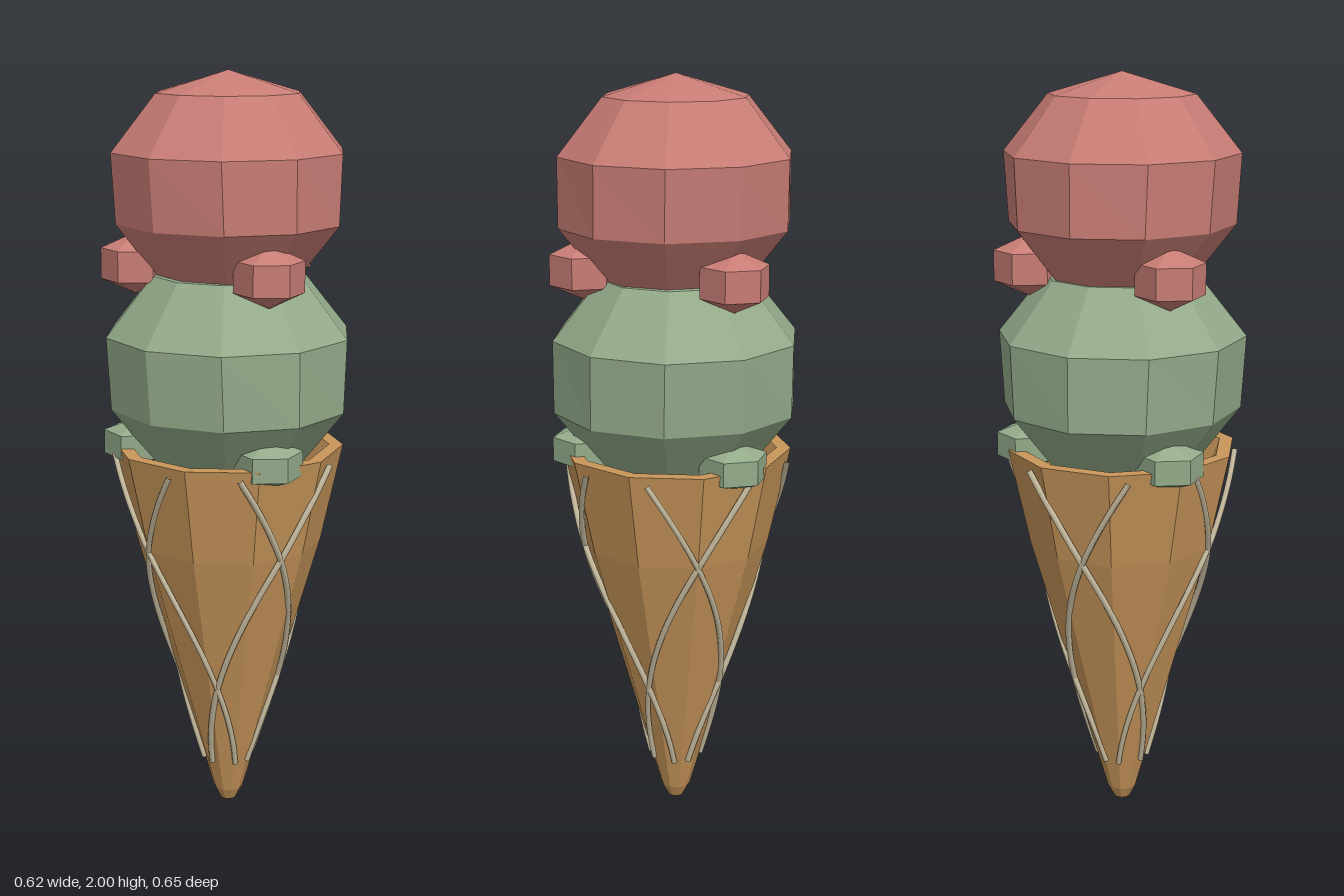
import * as THREE from 'three';

// Faceted normals baked into the geometry
function facet(geometry) {
  const g = geometry.toNonIndexed();
  g.computeVertexNormals();
  return g;
}

// Low-poly ball, corners pointing along z; the underside can be narrowed in x
function ball(ringRadius, height, sides, rings, narrow = 1) {
  const g = new THREE.SphereGeometry(1, sides, rings);
  g.rotateY(Math.PI / 2);
  g.scale(ringRadius, height, ringRadius);
  const p = g.attributes.position;
  for (let i = 0; i < p.count; i++) {
    if (p.getY(i) < 0) p.setX(i, p.getX(i) * narrow);
  }
  return facet(g);
}

export function createModel() {
  const model = new THREE.Group();
  const material = (name, color) => {
    const m = new THREE.MeshStandardMaterial({ color });
    m.name = name;
    return m;
  };
  const wafer = material('wafer', 0xc8965a);
  const strand = material('wafer lines', 0xc9bda0);
  const mint = material('mint', 0x94ab8a);
  const berry = material('berry', 0xc87d75);

  const add = (name, geometry, mat, parent = model) => {
    const mesh = new THREE.Mesh(geometry, mat);
    mesh.name = name;
    parent.add(mesh);
    return mesh;
  };

  // Cone: outer wall, lip, then inner wall down to a hidden floor
  const outer = [[0.022, 0], [0.04, 0.035], [0.249, 0.77], [0.305, 1.03]];
  const profile = [[0, 0], ...outer, [0.268, 1.03], [0.215, 0.9], [0, 0.9]];
  const coneGeometry = new THREE.LatheGeometry(
    profile.map(([x, y]) => new THREE.Vector2(x, y)), 10, Math.PI / 2);
  add('cone', facet(coneGeometry), wafer);

  const coneRadius = (y) => {
    const i = outer.findIndex((p) => p[1] >= y);
    const [r0, y0] = outer[i - 1], [r1, y1] = outer[i];
    return r0 + (r1 - r0) * (y - y0) / (y1 - y0);
  };

  // Crossing spiral lines, four each way around the cone
  const lines = new THREE.Group();
  lines.name = 'coneLines';
  model.add(lines);
  for (let k = 0; k < 4; k++) {
    for (const side of [-1, 1]) {
      const points = [];
      for (let i = 0; i <= 16; i++) {
        const y = 1.01 - 0.88 * i / 16;
        const a = k * Math.PI / 2 + side * THREE.MathUtils.degToRad(115 * (y - 0.77));
        const r = coneRadius(y) + 0.001;
        points.push(new THREE.Vector3(r * Math.sin(a), y, r * Math.cos(a)));
      }
      add('coneLine', new THREE.TubeGeometry(
        new THREE.CatmullRomCurve3(points), 40, 0.008, 6), strand, lines);
    }
  }

  // Scoops, each with three drips around its lower edge
  const dripSpots = [[-0.032, 0.235], [0.222, -0.097], [-0.195, -0.142]];
  const scoop = (name, mat, y, radius, height, dripY, dripHeight) => {
    const group = new THREE.Group();
    group.name = name;
    model.add(group);
    add(name + 'Ball', ball(radius, height, 10, 5, 0.96), mat, group).position.y = y;
    for (const [x, z] of dripSpots) {
      add(name + 'Drip', ball(0.103, dripHeight, 6, 3), mat, group).position.set(x, dripY, z);
    }
  };
  scoop('lowerScoop', mint, 1.235, 0.342, 0.31, 1.033, 0.064);
  scoop('upperScoop', berry, 1.71, 0.321, 0.29, 1.51, 0.08);

  return model;
}
